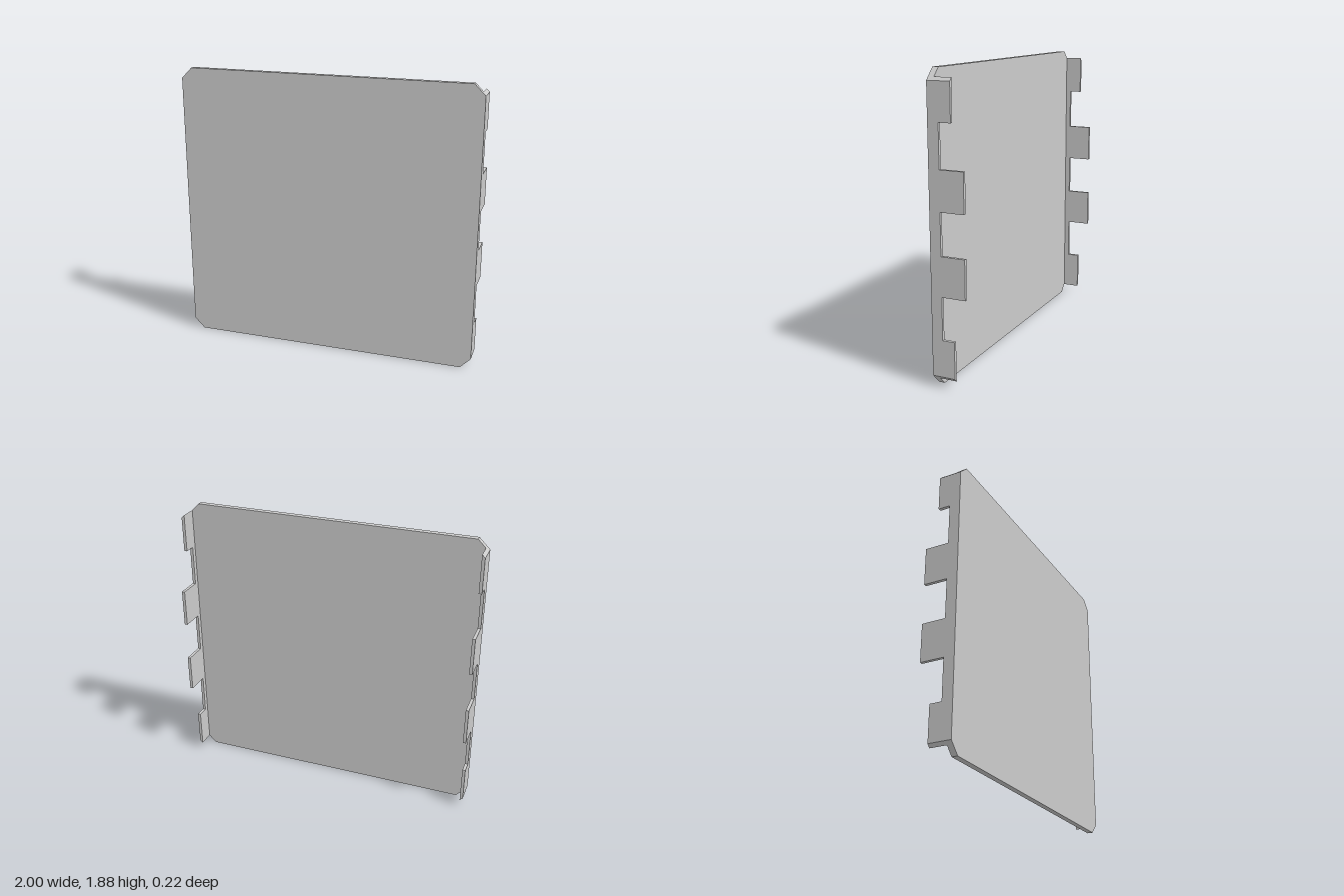
import * as THREE from 'three';

const H = 1.88, CUT = 0.07, WALL = 0.02;   // height, corner chamfer, flange thickness
const FRONT = 0.112, BACK = 0.074;         // panel faces in z

const material = new THREE.MeshStandardMaterial({ color: 0xcccccc, flatShading: true });

function extrude(points, depth) {
  const shape = new THREE.Shape(points.map(([x, y]) => new THREE.Vector2(x, y)));
  return new THREE.ExtrudeGeometry(shape, { depth, bevelEnabled: false });
}

// Flat plate with chamfered corners
function panelGeometry() {
  const a = 1 - CUT, b = H - CUT;
  const g = extrude([
    [-a, 0], [a, 0], [1, CUT], [1, b], [a, H], [-a, H], [-1, b], [-1, CUT],
  ], FRONT - BACK);
  return g.translate(0, 0, BACK);
}

// Side flange with four tabs: [bottom, top, rear z]
function flangeGeometry() {
  const low = CUT, high = H - CUT, base = 0.042;
  const tabs = [
    [low, 0.3, -0.036], [0.565, 0.81, -0.112], [H - 0.81, H - 0.565, -0.112], [H - 0.3, high, -0.036],
  ];
  const profile = [[-BACK, low]];
  tabs.forEach(([y0, y1, z], i) => {
    if (i > 0) profile.push([-base, y0]);
    profile.push([-z, y0], [-z, y1]);
    if (i < tabs.length - 1) profile.push([-base, y1]);
  });
  profile.push([-BACK, high]);
  const g = extrude(profile, WALL).rotateY(Math.PI / 2).translate(1 - WALL, 0, 0);

  // Slant both ends so they follow the panel's chamfer
  const p = g.attributes.position;
  for (let i = 0; i < p.count; i++) {
    if (p.getX(i) > 1 - WALL / 2) continue;
    const y = p.getY(i);
    if (y < low + 1e-4) p.setY(i, y - WALL);
    if (y > high - 1e-4) p.setY(i, y + WALL);
  }
  g.computeVertexNormals();
  return g;
}

export function createModel() {
  const model = new THREE.Group();
  model.name = 'tabbedPanel';

  const panel = new THREE.Mesh(panelGeometry(), material);
  panel.name = 'panel';
  model.add(panel);

  // The flange is symmetric in height, so a half turn gives the other side
  const flange = flangeGeometry();
  const left = new THREE.Mesh(flange, material);
  left.name = 'leftFlange';
  const right = new THREE.Mesh(flange, material);
  right.name = 'rightFlange';
  right.rotation.z = Math.PI;
  right.position.y = H;
  model.add(left, right);

  return model;
}
